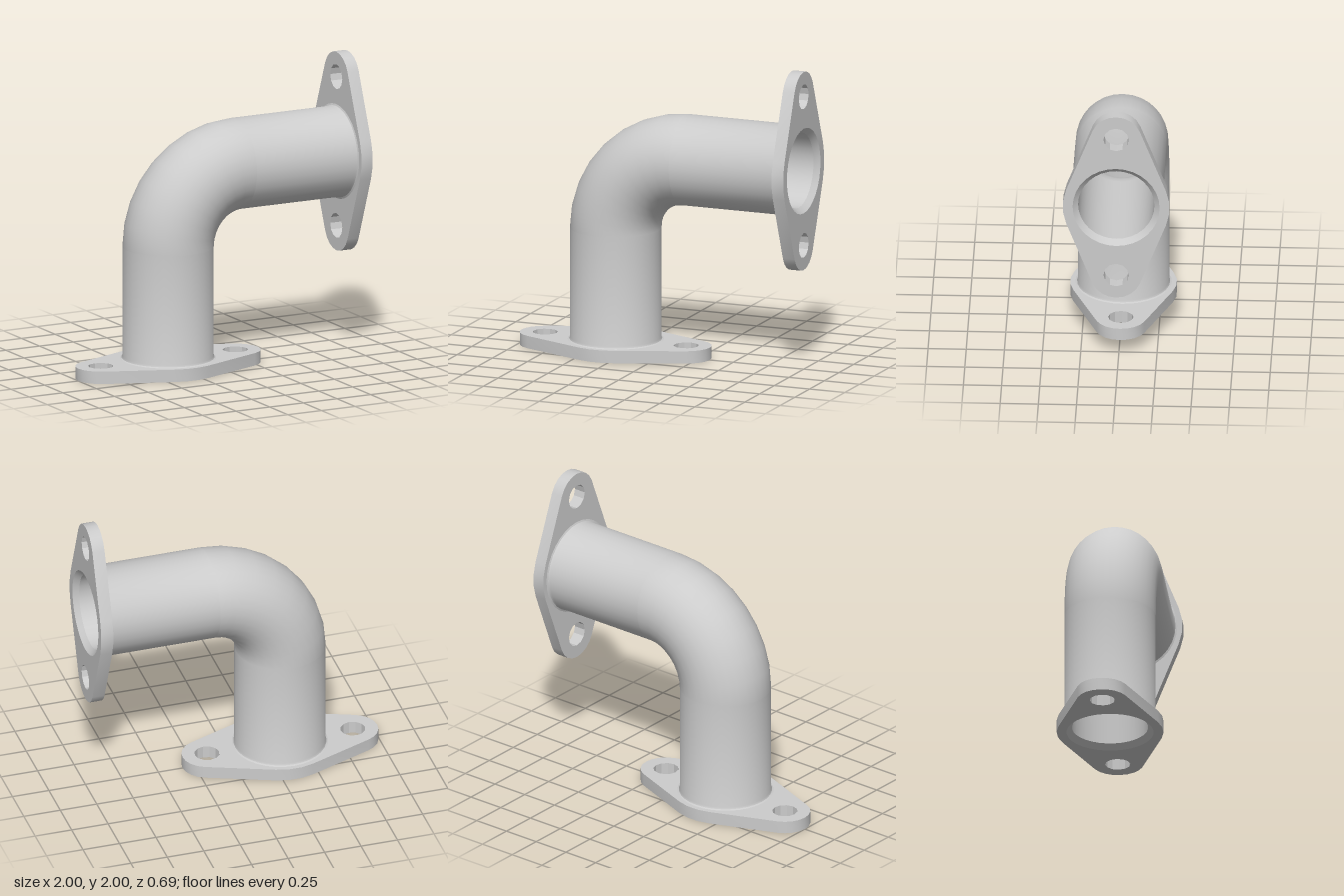
import * as THREE from 'three';
import { toCreasedNormals } from 'three/addons/utils/BufferGeometryUtils.js';

const SIDES = 32;
const OUTER = 0.3, INNER = 0.25, BORE = 0.285;   // pipe radii
const THICK = 0.083, ARM = 0.833, BEND = 0.5;    // flange thickness, straight length, bend radius
const HUB = 0.35, EAR = 0.167, BOLT = 0.5;       // flange outline radii, bolt offset

const grey = new THREE.MeshStandardMaterial({ color: 0xcccccc });
const greyInside = new THREE.MeshStandardMaterial({ color: 0xcccccc, side: THREE.BackSide });

function part(name, geometry, material = grey) {
  const mesh = new THREE.Mesh(geometry, material);
  mesh.name = name;
  return mesh;
}

// Points along a circular arc
function arc(cx, radius, from, to, segments) {
  const points = [];
  for (let i = 0; i <= segments; i++) {
    const a = from + (to - from) * i / segments;
    points.push(new THREE.Vector2(cx + radius * Math.cos(a), radius * Math.sin(a)));
  }
  return points;
}

// Two-bolt flange: hub and two ears joined by tangent lines
function flangeGeometry() {
  const t = Math.acos((HUB - EAR) / BOLT);
  const shape = new THREE.Shape([
    ...arc(BOLT, EAR, -t, t, 8),
    ...arc(0, HUB, t, Math.PI - t, 3),
    ...arc(-BOLT, EAR, Math.PI - t, Math.PI + t, 8),
    ...arc(0, HUB, Math.PI + t, 2 * Math.PI - t, 3),
  ]);
  const hole = (x, r, n) => new THREE.Path(arc(x, r, 0, 2 * Math.PI, n).slice(0, -1));
  shape.holes.push(hole(0, BORE, SIDES), hole(BOLT, 0.083, 12), hole(-BOLT, 0.083, 12));
  const geometry = new THREE.ExtrudeGeometry(shape, { depth: THICK, bevelEnabled: false });
  return toCreasedNormals(geometry.rotateX(-Math.PI / 2), 0.45);
}

function lathe(profile) {
  const points = profile.map(([r, y]) => new THREE.Vector2(r, y));
  return toCreasedNormals(new THREE.LatheGeometry(points, SIDES), 0.5);
}

// Straight pipe standing on its flange
function createArm(name) {
  const arm = new THREE.Group();
  arm.name = name;
  arm.add(
    part('flange', flangeGeometry()),
    part('pipeOutside', lathe([[0.316, THICK], [0.305, 0.088], [OUTER, 0.1], [OUTER, ARM]])),
    part('pipeInside', lathe([[INNER, ARM], [INNER, 0.035], [BORE, 0]])),
  );
  return arm;
}

export function createModel() {
  const model = new THREE.Group();
  model.name = 'pipeElbow';

  const lower = createArm('lowerArm');
  lower.position.x = -0.333;

  const upper = createArm('upperArm');
  upper.rotation.z = Math.PI / 2;
  upper.position.set(1, ARM + BEND, 0);

  // Quarter-turn bend joining both arms
  const bend = new THREE.Group();
  bend.name = 'bend';
  bend.position.set(0.167, ARM, 0);
  bend.rotation.z = Math.PI / 2;
  const quarter = r => new THREE.TorusGeometry(BEND, r, SIDES, 8, Math.PI / 2);
  bend.add(part('bendOutside', quarter(OUTER)), part('bendInside', quarter(INNER), greyInside));

  model.add(lower, upper, bend);
  return model;
}
